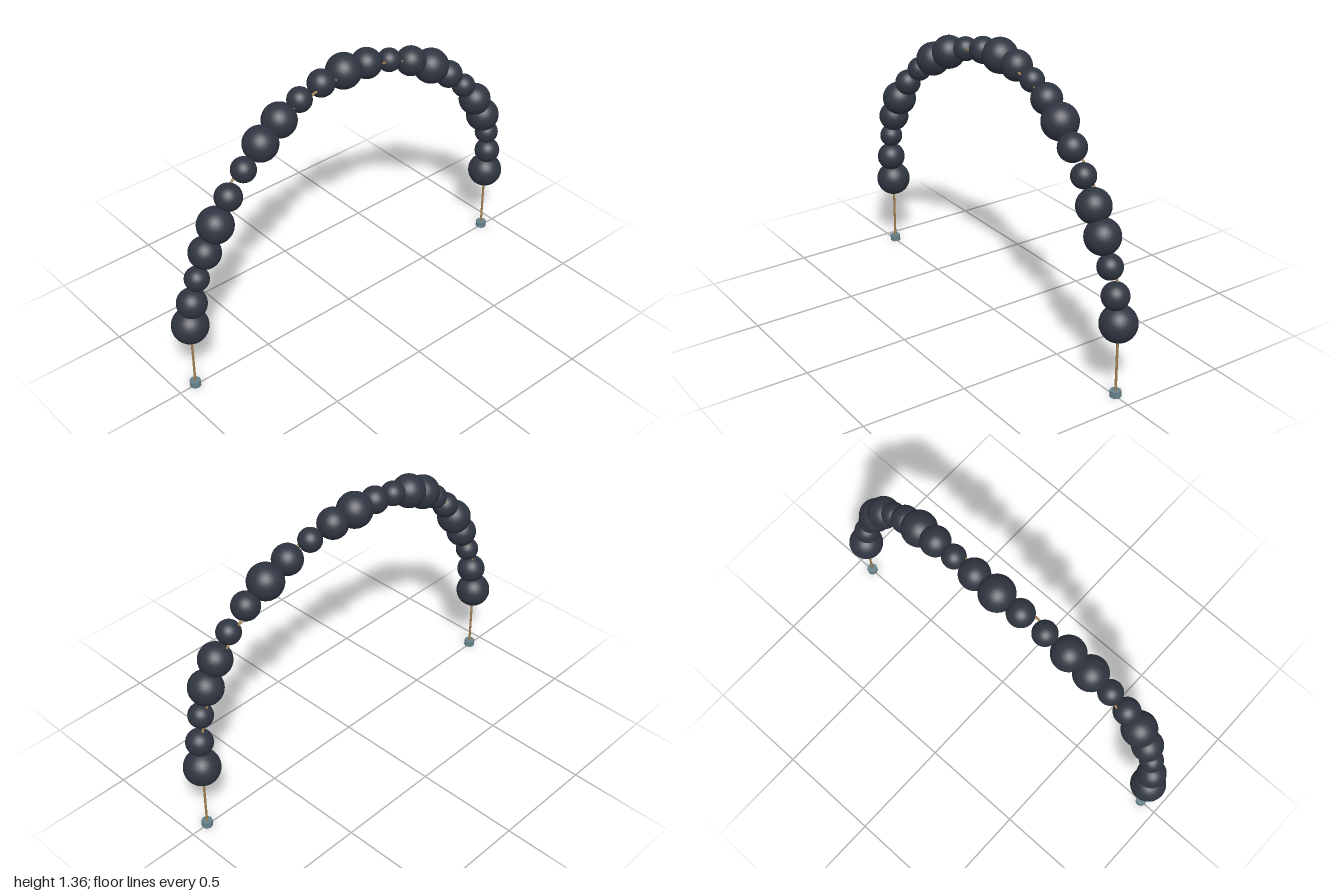
import * as THREE from 'three';

const R = 0.916;      // arch radius
const SPRING = 0.357; // height where the arch begins

// Bead radii from the right foot (-x) over the top to the left foot
const RADII = [
  0.084, 0.069, 0.056, 0.073, 0.082, 0.062, 0.057, 0.08, 0.079, 0.057, 0.063, 0.082,
  0.071, 0.055, 0.07, 0.083, 0.065, 0.056, 0.077, 0.08, 0.057, 0.062, 0.084,
];

function part(name, geometry, material, x = 0, y = 0, z = 0) {
  const mesh = new THREE.Mesh(geometry, material);
  mesh.name = name;
  mesh.position.set(x, y, z);
  return mesh;
}

export function createModel() {
  const model = new THREE.Group();
  model.name = 'beadArch';
  const beadMat = new THREE.MeshStandardMaterial({ color: 0x2f3541 });
  const wireMat = new THREE.MeshStandardMaterial({ color: 0xa08050 });
  const footMat = new THREE.MeshStandardMaterial({ color: 0x66828c, flatShading: true });

  // Beads along a half circle, weaving gently front to back
  const beads = new THREE.Group();
  beads.name = 'beads';
  const last = RADII.length - 1;
  RADII.forEach((r, i) => {
    const a = (Math.PI * i) / last;
    beads.add(part('bead', new THREE.SphereGeometry(r, 32, 20), beadMat,
      -R * Math.cos(a), SPRING + R * Math.sin(a), 0.035 * Math.sin(3 * a)));
  });
  model.add(beads);

  // Flat wire arch threaded through the beads
  model.add(part('wireArch', new THREE.TorusGeometry(R, 0.0055, 8, 96, Math.PI), wireMat, 0, SPRING));

  // Straight legs ending in small faceted feet
  for (const side of [-1, 1]) {
    const name = side > 0 ? 'left' : 'right';
    model.add(part(name + 'Leg', new THREE.CylinderGeometry(0.0055, 0.0055, SPRING - 0.01, 10), wireMat,
      side * R, (SPRING + 0.01) / 2));
    model.add(part(name + 'Foot', new THREE.CylinderGeometry(0.026, 0.026, 0.03, 8), footMat, side * R, 0.015));
  }
  return model;
}
